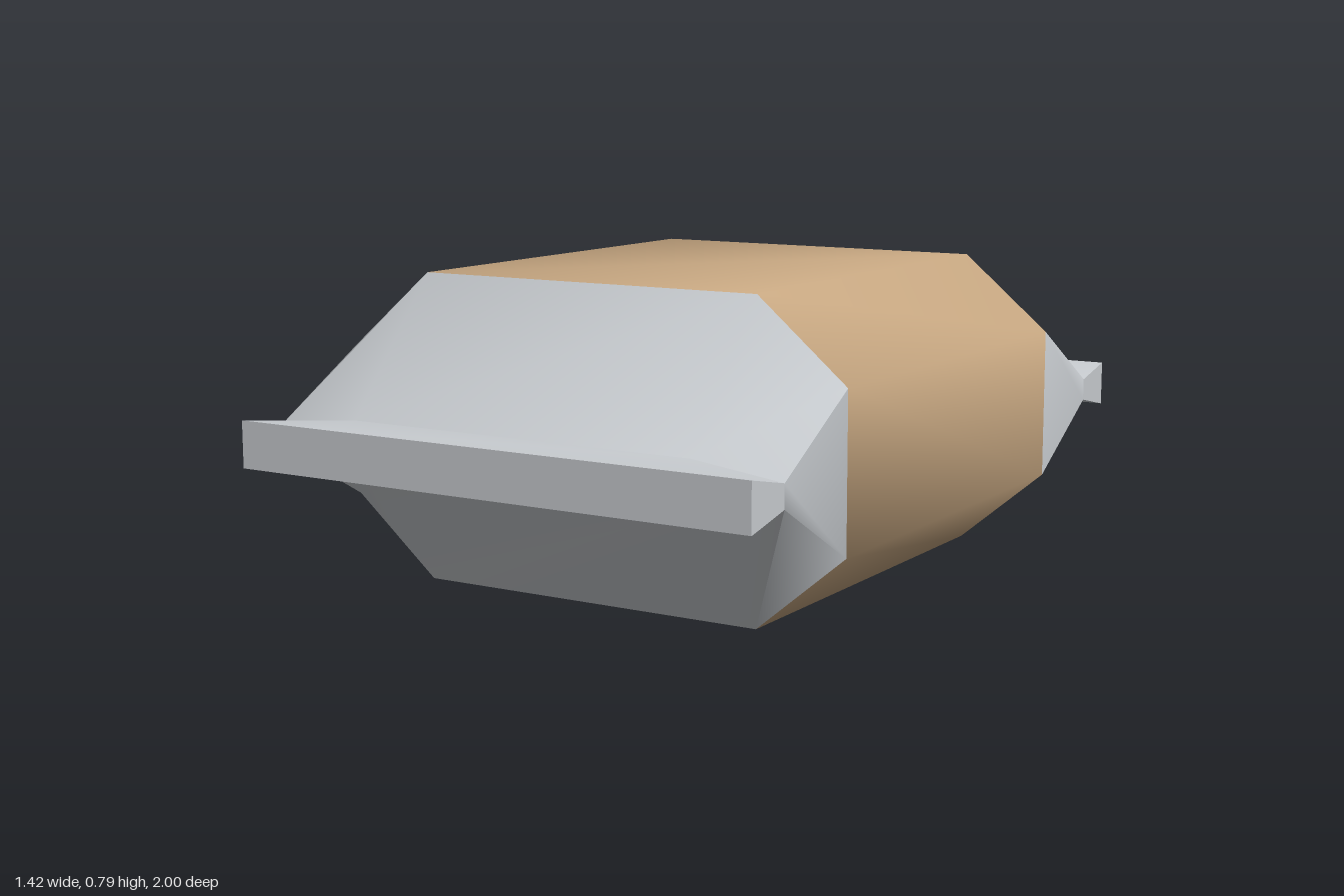
import * as THREE from 'three';
import { toCreasedNormals } from 'three/addons/utils/BufferGeometryUtils.js';

const CY = 0.3925; // height of the long axis

// Eight-sided section: x half-width, flat half-width, full and corner half-heights.
function section(z, top, corner) {
  const w = 0.71, f = 0.475;
  return [
    [w, -corner], [w, corner], [f, top], [-f, top],
    [-w, corner], [-w, -corner], [-f, -top], [f, -top],
  ].map(([x, y]) => new THREE.Vector3(x, y + CY, z));
}

// Skin between two sections (a behind b), optionally closed at the b end.
function loft(a, b, closed = false) {
  const pts = [];
  const n = a.length;
  for (let i = 0; i < n; i++) {
    const j = (i + 1) % n;
    pts.push(a[i], a[j], b[j], a[i], b[j], b[i]);
  }
  if (closed) {
    const c = new THREE.Vector3(0, CY, b[0].z);
    for (let i = 0; i < n; i++) pts.push(c, b[i], b[(i + 1) % n]);
  }
  const g = new THREE.BufferGeometry().setFromPoints(pts);
  return toCreasedNormals(g, 1.0);
}

function part(name, geometry, material) {
  const mesh = new THREE.Mesh(geometry, material);
  mesh.name = name;
  return mesh;
}

export function createModel() {
  const tan = new THREE.MeshStandardMaterial({ color: 0xc8a882, side: THREE.DoubleSide });
  tan.name = 'tan body';
  const silver = new THREE.MeshStandardMaterial({ color: 0xc8ccd0, side: THREE.DoubleSide });
  silver.name = 'silver wrapper';

  const model = new THREE.Group();
  model.name = 'wrappedBar';

  // Main body
  const back = section(-0.572, 0.3925, 0.195);
  const front = section(0.572, 0.3925, 0.195);
  model.add(part('body', loft(back, front), tan));

  // Pinched wrapper ends: taper to the neck, then a flat flared flap
  const neck = section(0.86, 0.059, 0.029);
  const tip = section(1, 0.059, 0.059);
  const taper = loft(front, neck);
  const flap = loft(neck, tip, true);
  for (const side of ['front', 'back']) {
    const end = new THREE.Group();
    end.name = side + 'End';
    end.add(part(side + 'Taper', taper, silver), part(side + 'Flap', flap, silver));
    if (side === 'back') end.rotation.y = Math.PI;
    model.add(end);
  }
  return model;
}
